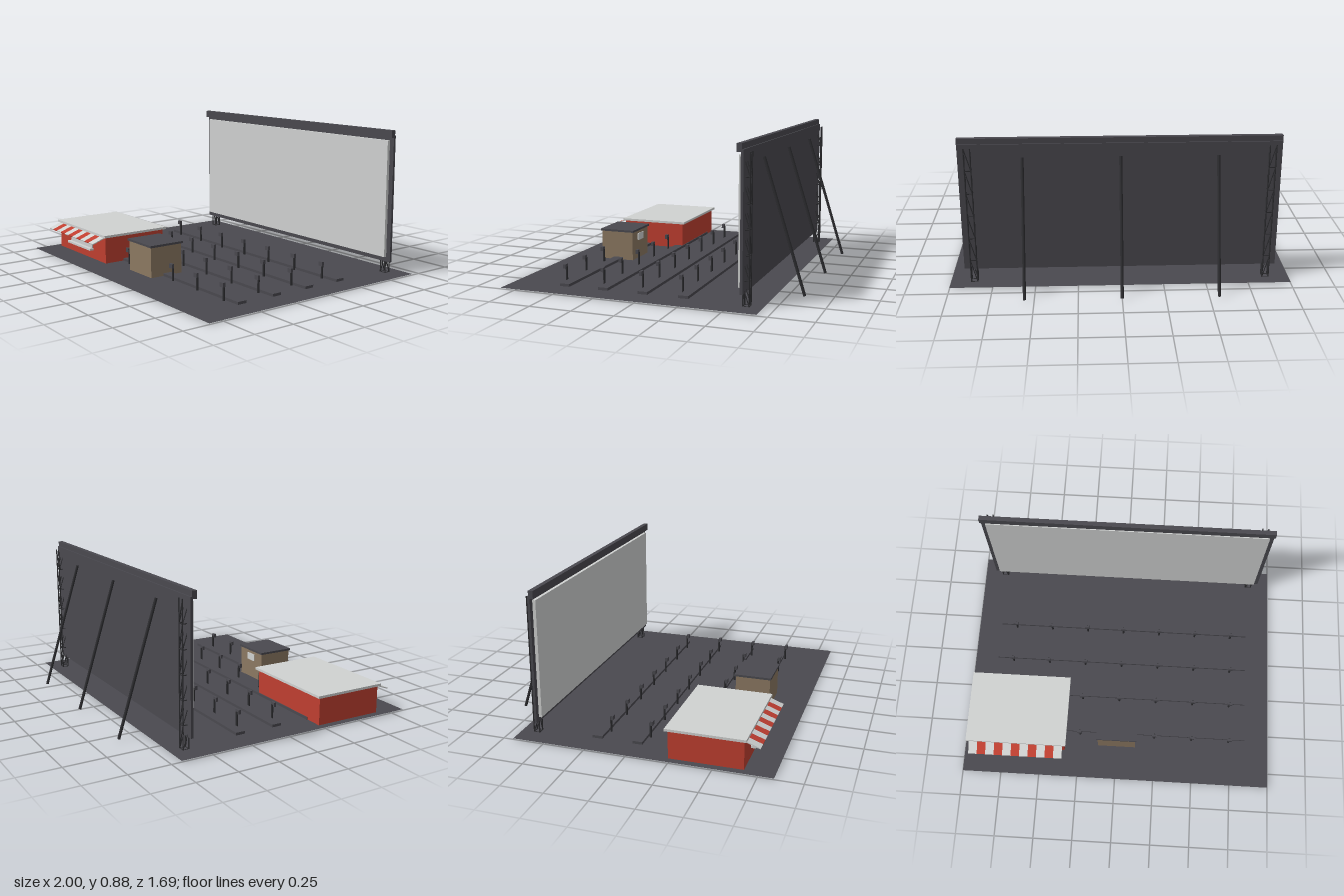
import * as THREE from 'three';

const mat = (name, color, side = THREE.FrontSide) => {
  const m = new THREE.MeshStandardMaterial({ color, side });
  m.name = name;
  return m;
};

export function createModel() {
  const root = new THREE.Group();
  root.name = 'driveInTheatre';
  const asphalt = mat('asphalt', 0x4a494f, THREE.DoubleSide);
  const charcoal = mat('charcoal', 0x4a494f);
  const metal = mat('darkMetal', 0x2e2e31);
  const white = mat('offWhite', 0xd0d2d1);
  const red = mat('red', 0xc03f30);
  const tan = mat('tan', 0x8c7962);

  const group = (name, parent = root) => {
    const g = new THREE.Group();
    g.name = name;
    parent.add(g);
    return g;
  };
  // Box given by its lower and upper limits on each axis
  const box = (parent, name, m, [x0, x1], [y0, y1], [z0, z1]) => {
    const mesh = new THREE.Mesh(new THREE.BoxGeometry(x1 - x0, y1 - y0, z1 - z0), m);
    mesh.position.set((x0 + x1) / 2, (y0 + y1) / 2, (z0 + z1) / 2);
    mesh.name = name;
    parent.add(mesh);
    return mesh;
  };
  // Round bar between two points
  const bar = (parent, name, a, b, r, sides = 6) => {
    const p = new THREE.Vector3(...a), q = new THREE.Vector3(...b);
    const d = q.clone().sub(p);
    const mesh = new THREE.Mesh(new THREE.CylinderGeometry(r, r, d.length(), sides), metal);
    mesh.position.copy(p).add(q).multiplyScalar(0.5);
    mesh.quaternion.setFromUnitVectors(new THREE.Vector3(0, 1, 0), d.normalize());
    mesh.name = name;
    parent.add(mesh);
  };

  // Ground sheet
  const G = 0.007;
  const ground = new THREE.Mesh(new THREE.PlaneGeometry(2, 1.53), asphalt);
  ground.rotation.x = -Math.PI / 2;
  ground.position.set(0, G, 0.075);
  ground.name = 'ground';
  root.add(ground);

  // Screen with backing, header beam and rear props
  const screen = group('screen');
  box(screen, 'screenBacking', charcoal, [-0.92, 0.92], [0.08, 0.85], [-0.59, -0.575]);
  box(screen, 'screenFace', white, [-0.89, 0.89], [0.11, 0.82], [-0.575, -0.556]);
  box(screen, 'headerBeam', charcoal, [-0.922, 0.922], [0.837, 0.882], [-0.582, -0.553]);
  for (const x of [-0.555, 0, 0.555]) bar(screen, 'rearProp', [x, 0.775, -0.598], [x, 0.003, -0.841], 0.009, 8);

  // Lattice towers at both ends
  for (const s of [-1, 1]) {
    const tower = group(s > 0 ? 'leftTower' : 'rightTower', screen);
    const xa = s * 0.843, xb = s * 0.88, zf = -0.58, zr = -0.615, step = 0.139;
    for (const x of [xa, xb]) for (const z of [zf, zr]) bar(tower, 'chord', [x, 0.004, z], [x, 0.835, z], 0.004);
    for (let i = 0; i < 6; i++) {
      const y = G + i * step, top = Math.min(y + step, 0.835);
      for (const x of [xa, xb]) {
        bar(tower, 'sideRung', [x, y, zf], [x, y, zr], 0.003);
        bar(tower, 'sideBrace', [x, top - 0.03, zf], [x, y, zr], 0.003);
      }
      for (const z of [zf, zr]) {
        bar(tower, 'crossRung', [xa, y, z], [xb, y, z], 0.003);
        bar(tower, 'crossBrace', [xa, y, z], [xb, top, z], 0.003);
      }
    }
  }

  // Parking rows: low ramp with speaker posts behind the front edge
  [-0.228, 0.017, 0.262, 0.507].forEach((z, row) => {
    const g = group('parkingRow');
    box(g, 'ramp', charcoal, [-0.848, 0.848], [G, 0.023], [z - 0.03, z + 0.03]);
    for (let i = -3; i <= 3; i++) {
      const x = i * 0.2465;
      // no posts inside the buildings
      if (row >= 2 && i <= -2 || row === 3 && i === 0) continue;
      const post = new THREE.Mesh(new THREE.CylinderGeometry(0.007, 0.007, 0.092, 8), metal);
      post.position.set(x, G + 0.046, z + 0.043);
      post.name = 'speakerPost';
      g.add(post);
      box(g, 'speaker', charcoal, [x - 0.015, x + 0.015], [0.086, 0.112], [z + 0.044, z + 0.06]);
    }
  });

  // Projection booth
  const booth = group('projectionBooth');
  box(booth, 'boothWalls', tan, [-0.122, 0.122], [G - 0.002, 0.192], [0.405, 0.622]);
  box(booth, 'boothRoof', charcoal, [-0.131, 0.131], [0.192, 0.205], [0.396, 0.629]);
  box(booth, 'projectionPort', white, [-0.04, 0.04], [0.125, 0.17], [0.399, 0.405]);

  // Snack stand with serving hatch and striped awning
  const stand = group('snackStand');
  box(stand, 'standWalls', red, [-0.957, -0.342], [G - 0.002, 0.175], [0.237, 0.667]);
  box(stand, 'standRoof', white, [-0.972, -0.326], [0.175, 0.19], [0.219, 0.68]);
  box(stand, 'servingHatch', white, [-0.79, -0.51], [0.076, 0.142], [0.667, 0.674]);
  box(stand, 'counter', white, [-0.805, -0.498], [0.064, 0.077], [0.667, 0.696]);
  const awning = group('awning', stand);
  awning.position.set(-0.65, 0.175, 0.672);
  awning.rotation.x = 0.35;
  const n = 11, w = 0.605 / n;
  for (let i = 0; i < n; i++) {
    const x = -0.3025 + i * w;
    box(awning, 'awningStripe', i % 2 ? red : white, [x, x + w], [-0.006, 0], [0, 0.088]);
  }
  return root;
}
